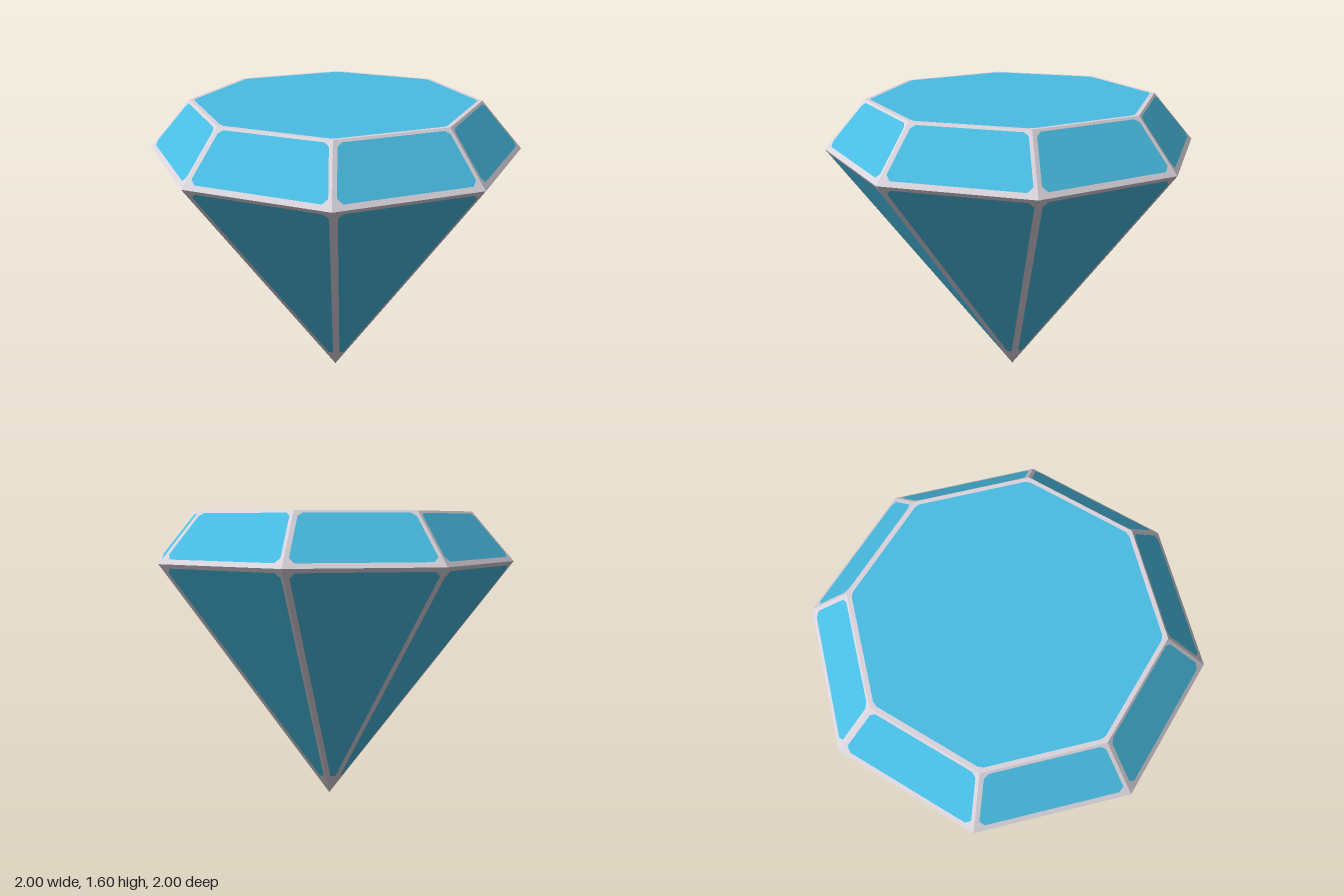
import * as THREE from 'three';

const SIDES = 8;
const blue = new THREE.MeshStandardMaterial({ color: 0x49bde4 });
blue.name = 'gem blue';
const pale = new THREE.MeshStandardMaterial({ color: 0xdad5dd });
pale.name = 'pale edge';

// Corner i of a ring; i = 0 faces the front, counting towards +x
function ring(r, y, i) {
  const a = (i / SIDES) * Math.PI * 2;
  return new THREE.Vector3(r * Math.sin(a), y, r * Math.cos(a));
}

// One flat facet: an inset blue pane with chamfered corners in a pale border.
// insets[k] is the border width along the edge from corner k to k + 1.
function addFacet(out, corners, insets, chamfers) {
  const n = corners.length;
  const at = (list, k) => list[(k + list.length) % list.length];
  const inset = corners.map((p, k) => {
    const next = at(corners, k + 1).clone().sub(p).normalize();
    const prev = at(corners, k - 1).clone().sub(p).normalize();
    const sin = Math.sin(next.angleTo(prev));
    return p.clone()
      .addScaledVector(next, at(insets, k - 1) / sin)
      .addScaledVector(prev, insets[k] / sin);
  });
  const pane = [];
  const rim = [];
  for (let k = 0; k < n; k++) {
    for (const other of [k - 1, k + 1]) {
      const dir = at(inset, other).clone().sub(inset[k]).normalize();
      pane.push(inset[k].clone().addScaledVector(dir, chamfers[k]));
      rim.push(corners[k]);
    }
  }
  const tri = (list, ...pts) => pts.forEach((p) => list.push(p.x, p.y, p.z));
  for (let k = 1; k < pane.length - 1; k++) tri(out.pane, pane[0], pane[k], pane[k + 1]);
  for (let k = 0; k < pane.length; k++) {
    if (rim[k] !== at(rim, k + 1)) tri(out.border, rim[k], at(rim, k + 1), at(pane, k + 1));
    tri(out.border, rim[k], at(pane, k + 1), pane[k]);
  }
}

// A gem section made of a pane mesh and a border mesh
function section(name, fill) {
  const out = { pane: [], border: [] };
  fill(out);
  const group = new THREE.Group();
  group.name = name;
  for (const [key, material] of [['pane', blue], ['border', pale]]) {
    const geometry = new THREE.BufferGeometry();
    geometry.setAttribute('position', new THREE.Float32BufferAttribute(out[key], 3));
    geometry.computeVertexNormals();
    const mesh = new THREE.Mesh(geometry, material);
    mesh.name = name + (key === 'pane' ? 'Panes' : 'Borders');
    group.add(mesh);
  }
  return group;
}

export function createModel() {
  const model = new THREE.Group();
  model.name = 'gem';
  const girdle = (i) => ring(1, 1.34, i);
  const rim = (i) => ring(0.775, 1.6, i);
  const tip = new THREE.Vector3(0, 0, 0);
  const all = [...Array(SIDES).keys()];

  // Flat octagonal top
  model.add(section('table', (out) =>
    addFacet(out, all.map(rim), all.map(() => 0.022), all.map(() => 0.015))));

  // Sloping band between the top and the widest ring
  model.add(section('crown', (out) => all.forEach((i) =>
    addFacet(out, [girdle(i), girdle(i + 1), rim(i + 1), rim(i)],
      [0.03, 0.018, 0.015, 0.022], [0.03, 0.03, 0.02, 0.02]))));

  // Long triangular facets meeting at the lower point
  model.add(section('pavilion', (out) => all.forEach((i) =>
    addFacet(out, [tip, girdle(i + 1), girdle(i)],
      [0.014, 0.025, 0.026], [0.06, 0.03, 0.03]))));

  return model;
}
